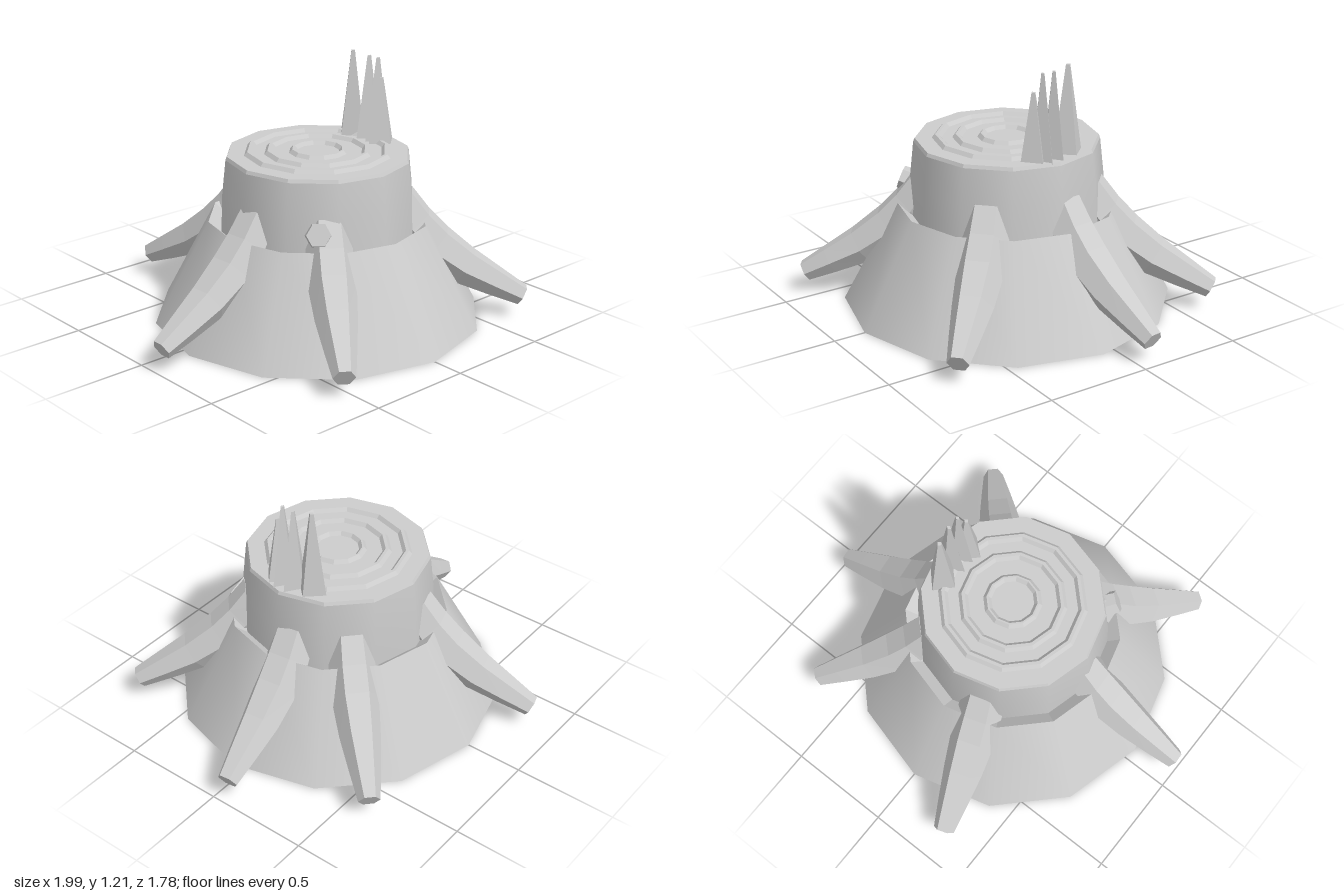
import * as THREE from 'three';

const SIDES = 12;
const CENTRE_Z = 0.0625;

export function createModel() {
  const model = new THREE.Group();
  model.name = 'treeStump';
  const grey = new THREE.MeshStandardMaterial({ color: 0xcccccc });
  grey.name = 'stump grey';

  const add = (name, geometry, parent = model) => {
    const mesh = new THREE.Mesh(geometry, grey);
    mesh.name = name;
    parent.add(mesh);
    return mesh;
  };
  const facet = (geometry) => {
    const flat = geometry.index ? geometry.toNonIndexed() : geometry;
    flat.computeVertexNormals();
    return flat;
  };
  const lathe = (profile) =>
    new THREE.LatheGeometry(profile.map(([r, y]) => new THREE.Vector2(r, y)), SIDES);

  // Trunk: flared bark skirt, sunken lip, underside and upper wall
  const trunk = new THREE.Group();
  trunk.name = 'trunk';
  trunk.position.z = CENTRE_Z;
  model.add(trunk);
  add('barkSkirt', lathe([[0.783, 0], [0.522, 0.49]]), trunk);
  add('skirtLip', facet(lathe([[0.522, 0.49], [0.44, 0.42]])), trunk);
  add('underside', facet(lathe([[0, 0], [0.783, 0]])), trunk);
  add('upperWall', lathe([[0.463, 0.4], [0.455, 0.62], [0.437, 0.787]]), trunk);

  // Cut face with raised growth rings
  const cut = [[0.437, 0.787], [0.43, 0.803]];
  for (const [outer, inner] of [[0.35, 0.305], [0.255, 0.21], [0.138, 0.1]]) {
    cut.push([outer, 0.803], [outer - 0.015, 0.82], [inner + 0.015, 0.82], [inner, 0.803]);
  }
  cut.push([0, 0.803]);
  add('growthRings', facet(lathe(cut)), trunk);

  // Roots: six-sided tapering tubes swept down an arc, [distance, height, radius]
  const rootGeometry = sweep([
    [0.37, 0.575, 0.1],
    [0.45, 0.46, 0.108],
    [0.55, 0.355, 0.11],
    [0.7, 0.25, 0.095],
    [0.85, 0.172, 0.072],
    [0.975, 0.108, 0.051],
  ]);
  const rootTips = [
    [-0.975, 0.055], [0.975, -0.125], [-0.31, -0.925],
    [0.67, -0.7], [0.67, 0.69], [-0.565, 0.795],
  ];
  for (const [x, z] of rootTips) {
    const root = add('root', rootGeometry, trunk);
    root.rotation.y = Math.atan2(-z, x);
  }

  // Short broken branch stub
  const stub = add('branchStub', sweep([[0.36, 0.52, 0.07], [0.51, 0.575, 0.055]]), trunk);
  stub.rotation.y = Math.atan2(-0.37, -0.33);

  // Row of upright splinters at the edge of the cut, [x, z, half width, half depth, tip height]
  const splinters = [
    [0.33, 0.14, 0.08, 0.07, 1.115],
    [0.345, 0.1, 0.08, 0.055, 1.2],
    [0.345, 0.04, 0.08, 0.055, 1.2],
    [0.325, -0.05, 0.075, 0.08, 1.213],
  ];
  for (const [x, z, w, d, top] of splinters) {
    const base = 0.79;
    const splinter = add('splinter', facet(new THREE.CylinderGeometry(0.15, 1, 1, 4)));
    splinter.scale.set(w, top - base, d);
    splinter.position.set(x, (top + base) / 2, z);
  }

  return model;
}

// Closed, faceted hexagonal tube along +x with a flat side upward
function sweep(path) {
  const N = 6;
  const rings = path.map(([x, y, r], i) => {
    const a = path[Math.max(i - 1, 0)];
    const b = path[Math.min(i + 1, path.length - 1)];
    const t = new THREE.Vector2(b[0] - a[0], b[1] - a[1]).normalize();
    return Array.from({ length: N }, (_, j) => {
      const angle = ((j + 0.5) / N) * Math.PI * 2;
      const up = Math.cos(angle) * r;
      return [x - t.y * up, y + t.x * up, Math.sin(angle) * r];
    });
  });
  const out = [];
  const tri = (a, b, c) => out.push(...a, ...b, ...c);
  for (let i = 0; i < rings.length - 1; i++) {
    for (let j = 0; j < N; j++) {
      const k = (j + 1) % N;
      tri(rings[i][j], rings[i][k], rings[i + 1][k]);
      tri(rings[i][j], rings[i + 1][k], rings[i + 1][j]);
    }
  }
  const first = rings[0];
  const last = rings[rings.length - 1];
  for (let j = 1; j < N - 1; j++) {
    tri(last[0], last[j], last[j + 1]);
    tri(first[0], first[j + 1], first[j]);
  }
  const geometry = new THREE.BufferGeometry();
  geometry.setAttribute('position', new THREE.Float32BufferAttribute(out, 3));
  geometry.computeVertexNormals();
  return geometry;
}
